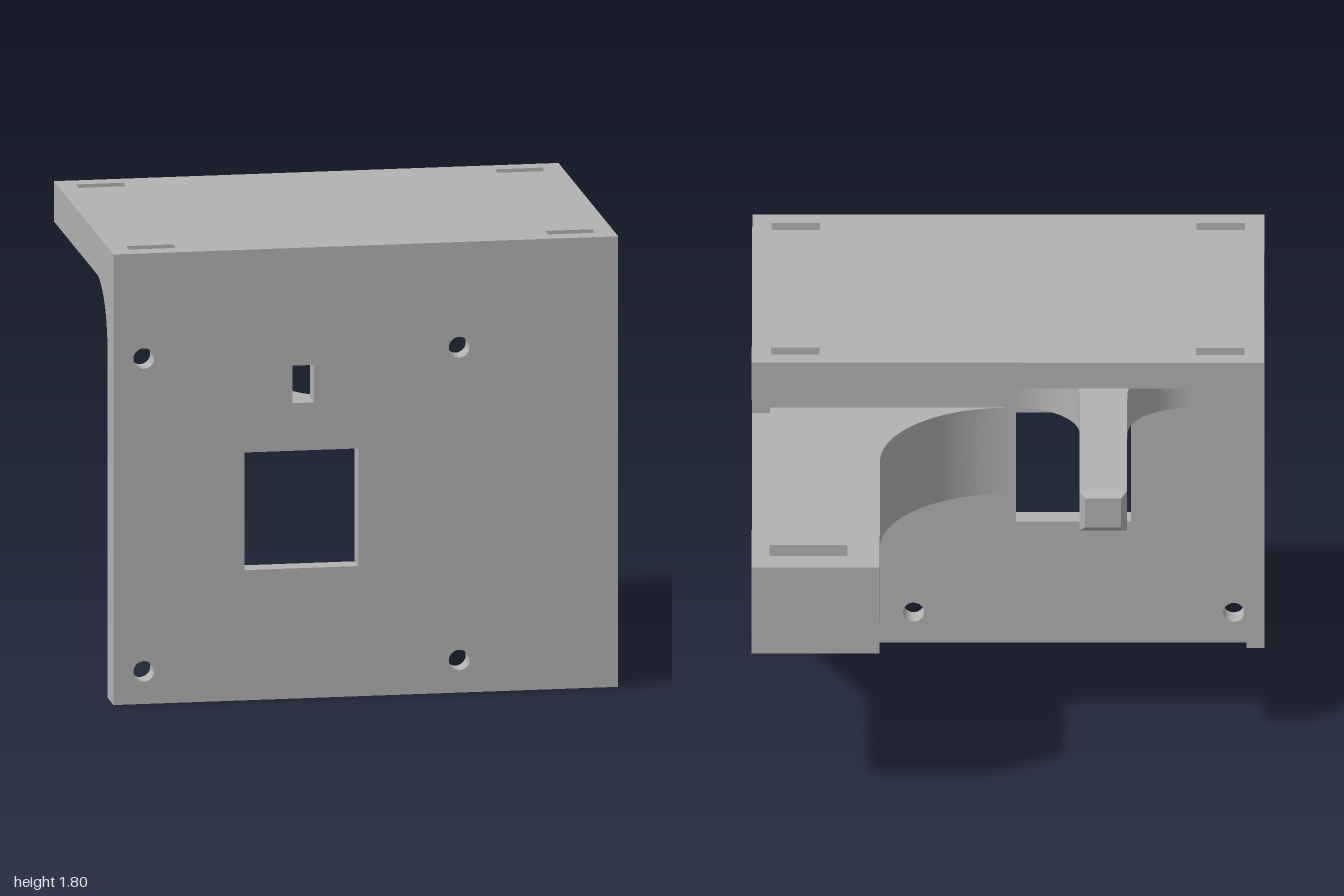
import * as THREE from 'three';
import { toCreasedNormals } from 'three/addons/utils/BufferGeometryUtils.js';

const grey = new THREE.MeshStandardMaterial({ color: 0xb2b2b2 });
grey.name = 'grey plastic';

const poly = (pts) => new THREE.Shape(pts.map(([a, b]) => new THREE.Vector2(a, b)));
const rect = (a0, b0, a1, b1) => poly([[a0, b0], [a1, b0], [a1, b1], [a0, b1]]);
const extrude = (shape, depth) =>
  new THREE.ExtrudeGeometry(shape, { depth, bevelEnabled: false, curveSegments: 24 });

// Shape drawn in (x, y), filling z0..z1
const alongZ = (shape, z0, z1) => extrude(shape, z1 - z0).translate(0, 0, z0);
// Shape drawn in (z, y), filling x0..x1
const alongX = (shape, x0, x1) => extrude(shape, x1 - x0).rotateY(-Math.PI / 2).translate(x1, 0, 0);
// Shape drawn in (x, z), filling y0..y1
const alongY = (shape, y0, y1) => extrude(shape, y1 - y0).rotateX(Math.PI / 2).translate(0, y1, 0);

export function createModel() {
  const group = new THREE.Group();
  const add = (name, geometry) => {
    const mesh = new THREE.Mesh(toCreasedNormals(geometry, 0.5), grey);
    mesh.name = name;
    group.add(mesh);
  };
  const FRONT = 0.79, INNER = 0.7, RIM = 0.65, BACK = -0.59, TOP = 1.8, UNDER = 1.69, SIDE = 0.93;

  // Front plate with window, small slot and four screw holes
  const plate = rect(-SIDE, 0, SIDE, UNDER);
  plate.holes.push(rect(-0.48, 0.52, -0.03, 0.99), rect(-0.29, 1.18, -0.205, 1.33));
  for (const x of [-0.88, 0.37]) for (const y of [0.13, 1.38]) {
    plate.holes.push(new THREE.Path().absarc(x, y, 0.041, 0, Math.PI * 2));
  }
  add('frontPlate', alongZ(plate, INNER, FRONT));

  // Top plate with four strap slots
  const top = rect(-SIDE, BACK, SIDE, FRONT);
  for (const x of [-0.925, 0.735]) for (const z of [-0.515, 0.645]) {
    top.holes.push(rect(x, z, x + 0.19, z + 0.065));
  }
  add('topPlate', alongY(top, UNDER, TOP));

  // Curved fillet in the inner corner of the two plates
  const r = 0.27;
  const fillet = poly([[INNER, UNDER], [INNER, UNDER - r]]);
  fillet.absarc(INNER - r, UNDER - r, r, 0, Math.PI / 2, false);
  add('cornerFillet', alongX(fillet, -SIDE, SIDE));

  // L-shaped stiffening rims on both sides
  const rim = poly([[BACK, TOP], [FRONT, TOP], [FRONT, 0], [RIM, 0], [RIM, 1.39]]);
  rim.absarc(0.4, 1.39, 0.25, 0, Math.PI / 2, false);
  rim.lineTo(BACK, 1.64);
  add('leftRim', alongX(rim, SIDE, 1));
  add('rightRim', alongX(rim, -1, -SIDE));

  // Thick support arm with a broad flare and a slot near the end
  const arm = poly([[SIDE, INNER], [SIDE, RIM], [1, RIM], [1, -0.79], [0.5, -0.79], [0.5, 0.2]]);
  arm.absarc(0, 0.2, 0.5, 0, Math.PI / 2, false);
  arm.holes.push(rect(0.625, -0.68, 0.93, -0.58));
  add('supportArm', alongY(arm, 0.64, 1.01));

  // Small fillet between the arm and the left rim
  const small = poly([[RIM, 0.64], [RIM, 0.59]]);
  small.absarc(RIM - 0.05, 0.59, 0.05, 0, Math.PI / 2, false);
  add('armFillet', alongX(small, SIDE, 1));

  // Triangular gusset under the arm
  const gusset = poly([[INNER, 0.64], [INNER, 0.013], [RIM, 0.04], [-0.36, 0.58]]);
  gusset.quadraticCurveTo(-0.46, 0.635, -0.57, 0.64);
  add('gusset', alongX(gusset, 0.6875, 0.8125));

  // Slim arm flared on both sides at its root
  const x0 = -0.465, x1 = -0.28, f = 0.25;
  const slim = poly([[x1, -0.44], [x1, INNER - f]]);
  slim.absarc(x1 + f, INNER - f, f, Math.PI, Math.PI / 2, true);
  slim.lineTo(x0 - f, INNER);
  slim.absarc(x0 - f, INNER - f, f, Math.PI / 2, 0, true);
  slim.lineTo(x0, -0.44);
  add('slimArm', alongY(slim, 1.01, 1.18));

  // Chamfered tip: the rear face of a box is drawn in
  const w = x1 - x0, h = 0.17, c = 0.022;
  const tip = new THREE.BoxGeometry(w, h, c);
  const p = tip.attributes.position;
  for (let i = 0; i < p.count; i++) {
    if (p.getZ(i) < 0) {
      p.setX(i, Math.sign(p.getX(i)) * (w / 2 - c));
      p.setY(i, Math.sign(p.getY(i)) * (h / 2 - c));
    }
  }
  add('slimArmTip', tip.translate((x0 + x1) / 2, 1.095, -0.44 - c / 2));

  return group;
}
